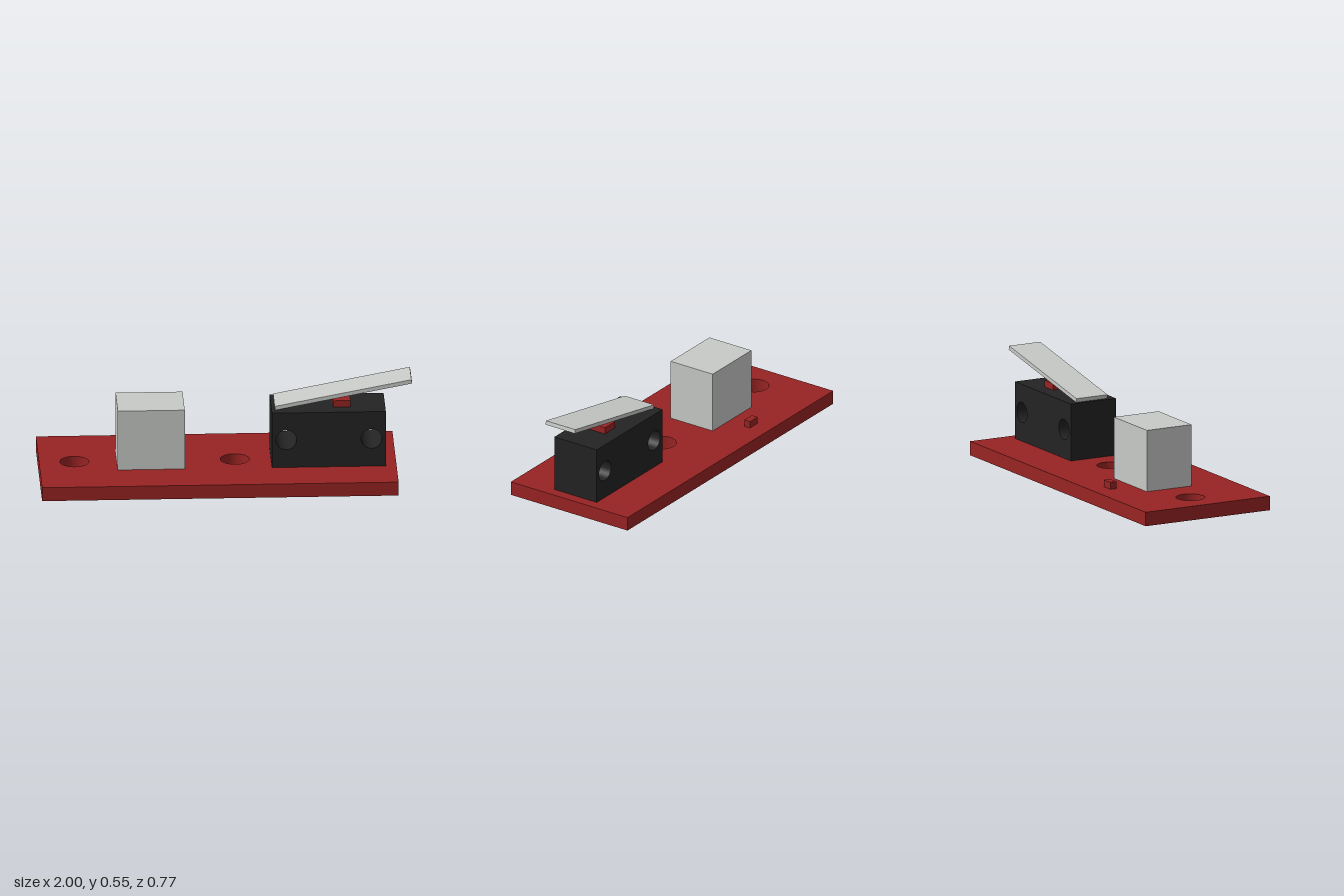
import * as THREE from 'three';

const material = (name, color) => {
  const m = new THREE.MeshStandardMaterial({ color });
  m.name = name;
  return m;
};

// Rectangle (x0..x1, y0..y1) with round holes [x, y, radius], extruded along z
function drilledPlate(x0, x1, y0, y1, depth, holes) {
  const shape = new THREE.Shape();
  shape.moveTo(x0, y0);
  shape.lineTo(x1, y0);
  shape.lineTo(x1, y1);
  shape.lineTo(x0, y1);
  shape.closePath();
  for (const [x, y, r] of holes) {
    shape.holes.push(new THREE.Path().absarc(x, y, r, 0, Math.PI * 2, true));
  }
  return new THREE.ExtrudeGeometry(shape, { depth, bevelEnabled: false, curveSegments: 24 });
}

export function createModel() {
  const red = material('board red', 0x982323);
  const black = material('switch black', 0x232323);
  const grey = material('light grey', 0xc8cac8);

  const model = new THREE.Group();
  model.name = 'limitSwitchModule';

  const add = (name, geometry, mat) => {
    const mesh = new THREE.Mesh(geometry, mat);
    mesh.name = name;
    model.add(mesh);
    return mesh;
  };
  const addBox = (name, mat, [w, h, d], [x, y, z]) => {
    const mesh = add(name, new THREE.BoxGeometry(w, h, d), mat);
    mesh.position.set(x, y, z);
    return mesh;
  };

  const boardTop = 0.077;
  const switchTop = 0.39;

  // Circuit board with two mounting holes
  const board = drilledPlate(-1, 0.915, -0.383, 0.383, boardTop,
    [[-0.81, 0, 0.078], [0.052, 0, 0.078]]);
  board.rotateX(-Math.PI / 2);
  add('board', board, red);

  // Connector block and small indicator behind it
  addBox('connector', grey, [0.36, 0.338, 0.276], [-0.403, boardTop + 0.169, -0.002]);
  addBox('indicator', red, [0.07, 0.038, 0.038], [-0.403, boardTop + 0.019, -0.264]);

  // Switch body with two cross holes
  const body = drilledPlate(0.245, 0.857, boardTop, switchTop, 0.278,
    [[0.322, 0.235, 0.056], [0.78, 0.235, 0.056]]);
  body.translate(0, 0, -0.14);
  add('switchBody', body, black);

  // Plunger and sloping lever above it
  addBox('plunger', red, [0.094, 0.037, 0.126], [0.624, switchTop + 0.0185, 0]);
  const lever = addBox('lever', grey, [0.748, 0.022, 0.192], [0.631, 0.472, -0.001]);
  lever.rotation.z = 0.19;

  return model;
}
